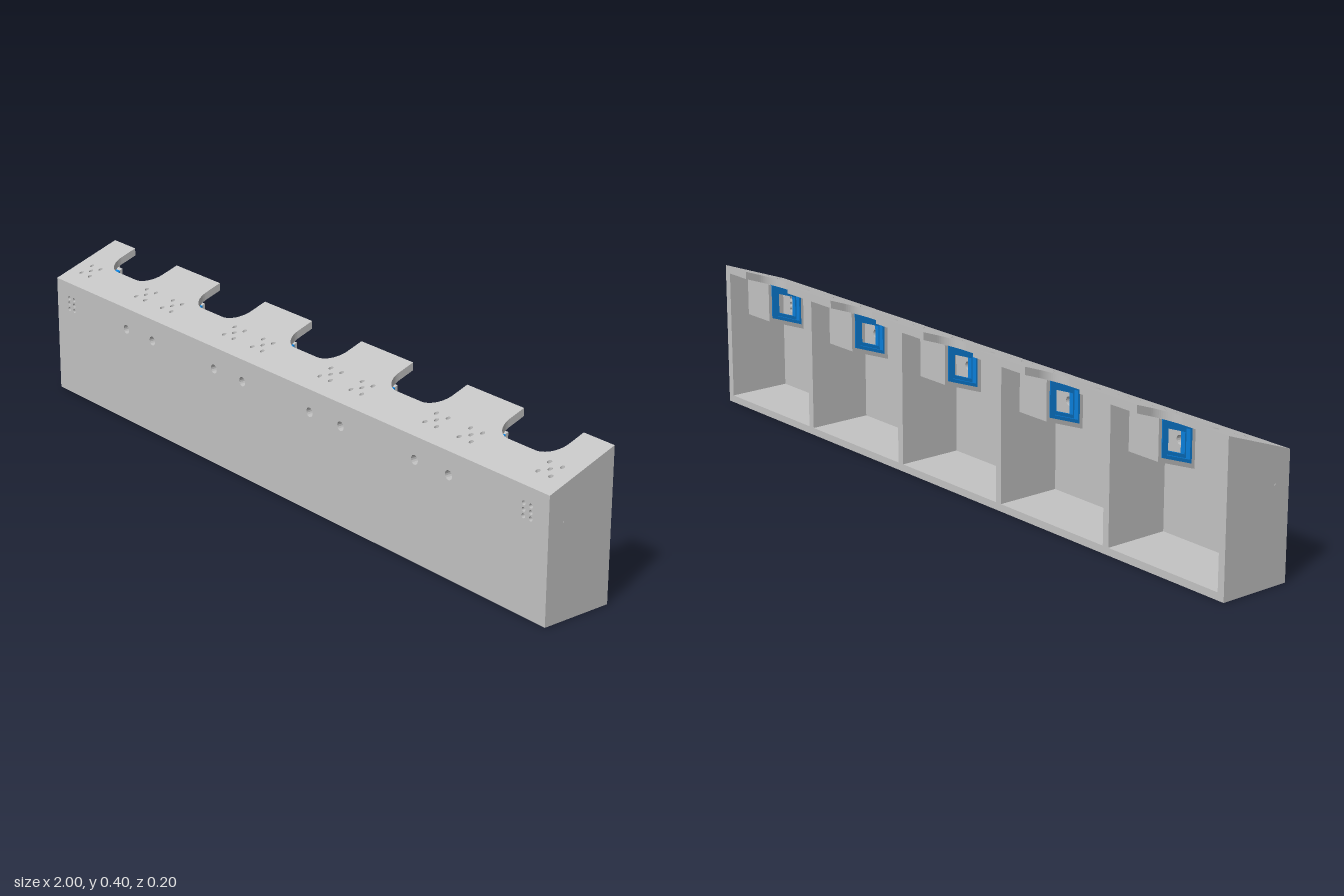
import * as THREE from 'three';

const SLOPE = 0.36;          // roof drop per unit of z
const ROOF = 0.364;          // roof height at z = 0
const T = 0.02;              // panel thickness
const roofY = (z, drop = 0) => ROOF - drop - SLOPE * z;

function polygon(points, holes = []) {
  const shape = new THREE.Shape(points.map(([a, b]) => new THREE.Vector2(a, b)));
  shape.holes.push(...holes);
  return shape;
}

function roundHole(x, y, r) {
  const hole = new THREE.Path();
  hole.absarc(x, y, r, 0, Math.PI * 2, true);
  return hole;
}

function extrude(shape, depth) {
  return new THREE.ExtrudeGeometry(shape, { depth, bevelEnabled: false, curveSegments: 8 });
}

// Panel drawn in (z, y), spanning x from xa to xb
function sidePanel(shape, xa, xb) {
  const geo = extrude(shape, Math.abs(xb - xa));
  geo.rotateY(-Math.PI / 2);
  geo.translate(Math.max(xa, xb), 0, 0);
  return geo;
}

// Parallelogram in (z, y) whose top and bottom follow the roof slope
function slanted(z0, z1, low, high) {
  return [
    [z0, low - SLOPE * z0], [z1, low - SLOPE * z1],
    [z1, high - SLOPE * z1], [z0, high - SLOPE * z0],
  ];
}

function slantedFrame(outer, inner) {
  return polygon(slanted(...outer), [new THREE.Path(
    slanted(...inner).reverse().map(([a, b]) => new THREE.Vector2(a, b)))]);
}

// Ring of small vents shared by the end walls and dividers
function ventRing() {
  const spots = [[0.052, 0.279], [0.009, 0.3], [0.009, 0.281]];
  for (let i = 0; i < 5; i++) {
    const z = 0.012 + i * 0.01;
    spots.push([z, 0.316 - SLOPE * z], [z, 0.272 - SLOPE * z]);
  }
  return spots.map(([z, y]) => roundHole(z, y, 0.004));
}

export function createModel() {
  const model = new THREE.Group();
  const grey = new THREE.MeshStandardMaterial({ color: 0xc4c4c4 });
  grey.name = 'casing grey';
  const blue = new THREE.MeshStandardMaterial({ color: 0x0a80dc });
  blue.name = 'socket blue';

  const add = (name, geo, material = grey, parent = model) => {
    const mesh = new THREE.Mesh(geo, material);
    mesh.name = name;
    parent.add(mesh);
    return mesh;
  };

  const dividers = [-0.6, -0.2, 0.2, 0.6];
  const inner = 1 - T;

  // Floor
  const floor = new THREE.BoxGeometry(2 * inner, T, 0.2);
  floor.translate(0, T / 2, 0);
  add('floor', floor);

  // End walls and dividers
  for (const s of [-1, 1]) {
    const wall = polygon([[-0.1, 0], [0.1, 0], [0.1, roofY(0.1)], [-0.1, roofY(-0.1)]], ventRing());
    add('endWall', sidePanel(wall, s * inner, s));
  }
  for (const x of dividers) {
    const wall = polygon(
      [[-0.1, T], [0.08, T], [0.08, roofY(0.08, 0.021)], [-0.1, roofY(-0.1, 0.021)]], ventRing());
    add('divider', sidePanel(wall, x - T / 2, x + T / 2));
  }

  // Corners that hold a socket: inner wall face and direction into the bay
  const corners = [{ x: -inner, d: 1 }, { x: inner, d: -1 }];
  for (const x of dividers) corners.push({ x: x + T / 2, d: 1 }, { x: x - T / 2, d: -1 });
  const centreOf = ({ x, d }) => x + d * 0.051;

  // Front panel: one hole per socket, small vents beside the end walls
  const frontHoles = [];
  for (const c of corners) {
    const x = centreOf(c);
    if (Math.abs(c.x) < 0.9) {
      frontHoles.push(roundHole(x, 0.267, 0.0125));
    } else {
      for (const dx of [-0.012, 0.012])
        for (const dy of [-0.016, 0, 0.016]) frontHoles.push(roundHole(x + dx, 0.267 + dy, 0.006));
    }
  }
  const front = extrude(polygon(
    [[-inner, T], [inner, T], [inner, 0.31], [-inner, 0.31]], frontHoles), T);
  front.translate(0, 0, 0.08);
  add('frontPanel', front);

  // Sloped roof with five rounded notches along the back, drawn in (x, -z)
  const roof = new THREE.Shape();
  roof.moveTo(-inner, -0.1);
  roof.lineTo(inner, -0.1);
  roof.lineTo(inner, 0.1);
  const r = 0.055;
  for (const x of [0.8, 0.4, 0, -0.4, -0.8]) {
    roof.lineTo(x + 0.1, 0.1);
    roof.lineTo(x + 0.1, r);
    roof.absarc(x + 0.1 - r, r, r, 0, -Math.PI / 2, true);
    roof.absarc(x - 0.1 + r, r, r, -Math.PI / 2, -Math.PI, true);
    roof.lineTo(x - 0.1, 0.1);
  }
  roof.lineTo(-inner, 0.1);
  for (const c of corners) {
    const x = centreOf(c);
    for (const [dx, dz] of [[0, 0], [-1, -1], [1, -1], [-1, 1], [1, 1]])
      roof.holes.push(roundHole(x + dx * 0.021, -0.032 - dz * 0.018, 0.006));
  }
  const roofGeo = extrude(roof, 0.021);
  roofGeo.rotateX(-Math.PI / 2);
  roofGeo.translate(0, ROOF - 0.021, 0);
  const pos = roofGeo.attributes.position;
  for (let i = 0; i < pos.count; i++) pos.setY(i, pos.getY(i) - SLOPE * pos.getZ(i));
  roofGeo.computeVertexNormals();
  add('roof', roofGeo);

  // Socket housings: slanted shelf, back plate and blue stepped socket frame
  for (const { x, d } of corners) {
    const housing = new THREE.Group();
    housing.name = 'socketHousing';
    model.add(housing);
    const part = (name, shape, a, b, material) =>
      add(name, sidePanel(shape, x + d * a, x + d * b), material, housing);

    part('shelf', polygon(slanted(-0.04, 0.08, 0.236, 0.248)), 0, 0.102);
    part('backPlate', polygon(slanted(-0.04, -0.03, 0.248, 0.343)), 0, 0.102);
    part('frontPost', polygon(slanted(0.068, 0.08, 0.248, 0.343)), 0.078, 0.102);
    part('socketRim', slantedFrame([-0.03, 0.068, 0.248, 0.343], [-0.014, 0.062, 0.257, 0.333]),
      0.08, 0.104, blue);
    part('socketStep', slantedFrame([-0.014, 0.062, 0.257, 0.333], [0.003, 0.058, 0.266, 0.322]),
      0.076, 0.09, blue);
  }
  return model;
}
